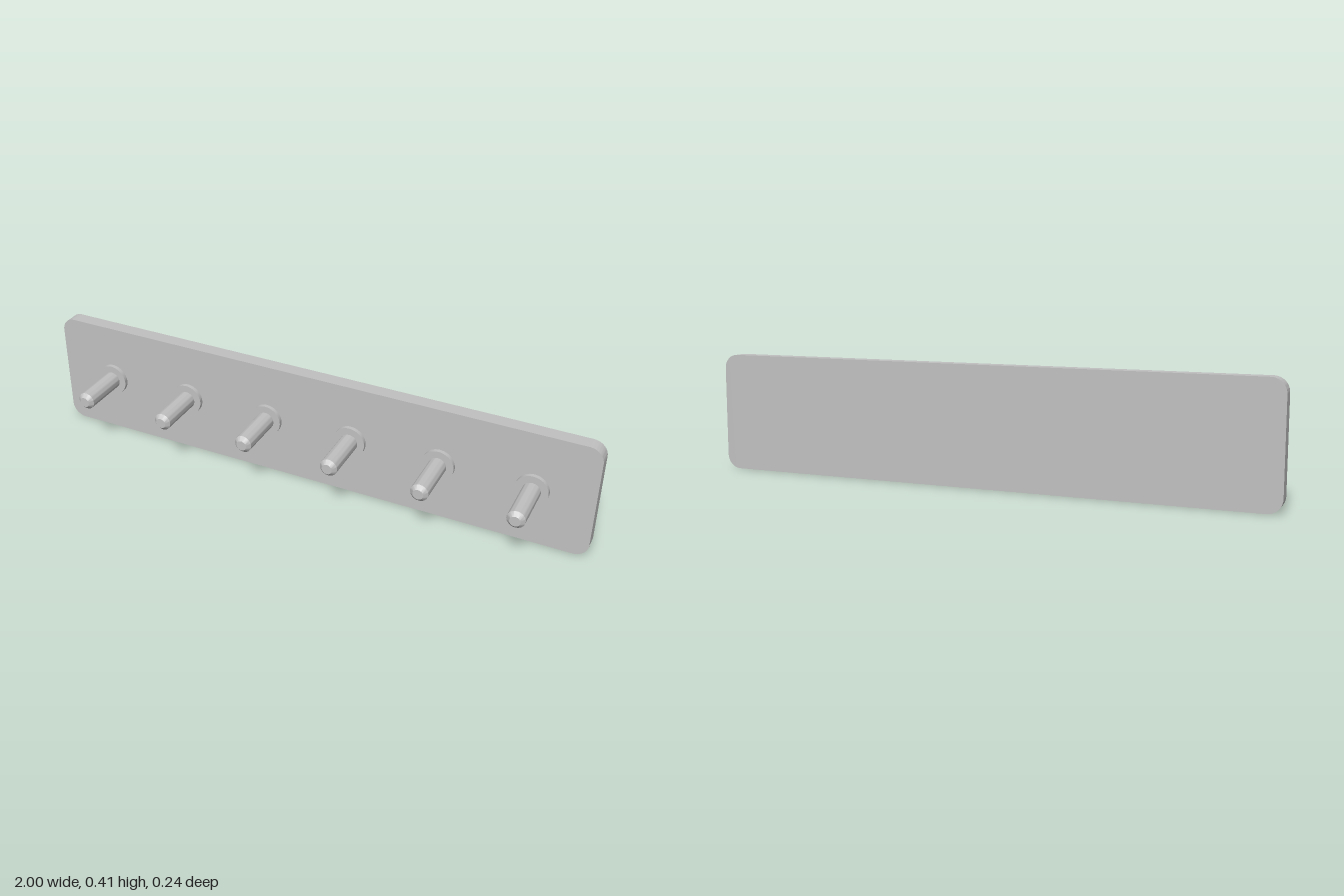
import * as THREE from 'three';
import { toCreasedNormals } from 'three/addons/utils/BufferGeometryUtils.js';

const HEIGHT = 0.415, BACK = -0.121, FACE = -0.071, TIP = 0.121;
const CREASE = Math.PI / 6;

// Rounded rectangle outline standing on y = 0
function plateShape(halfWidth, height, r) {
  const s = new THREE.Shape();
  s.absarc(halfWidth - r, r, r, -Math.PI / 2, 0);
  s.absarc(halfWidth - r, height - r, r, 0, Math.PI / 2);
  s.absarc(-halfWidth + r, height - r, r, Math.PI / 2, Math.PI);
  s.absarc(-halfWidth + r, r, r, Math.PI, Math.PI * 1.5);
  s.closePath();
  return s;
}

// Turned part along +z from [radius, z] pairs
function turned(profile) {
  const g = new THREE.LatheGeometry(profile.map(([r, z]) => new THREE.Vector2(r, z)), 48);
  g.rotateX(Math.PI / 2);
  return toCreasedNormals(g, CREASE);
}

export function createModel() {
  const group = new THREE.Group();
  const grey = new THREE.MeshStandardMaterial({ color: 0xc0c0c0 });
  grey.name = 'light grey';

  const add = (name, geometry, parent) => {
    const mesh = new THREE.Mesh(geometry, grey);
    mesh.name = name;
    parent.add(mesh);
    return mesh;
  };

  // Back plate
  const plate = new THREE.ExtrudeGeometry(plateShape(1, HEIGHT, 0.05), {
    depth: FACE - BACK, bevelEnabled: false, curveSegments: 12,
  });
  plate.translate(0, 0, BACK);
  add('backPlate', toCreasedNormals(plate, CREASE), group);

  // Collar and chamfered peg, shared by the whole row
  const seat = FACE + 0.014;
  const collar = turned([[0, FACE], [0.056, FACE], [0.056, seat], [0, seat]]);
  const peg = turned([[0.031, seat], [0.031, TIP - 0.013], [0.018, TIP], [0, TIP]]);

  for (let i = 0; i < 6; i++) {
    const hook = new THREE.Group();
    hook.name = 'hook';
    hook.position.set((i - 2.5) * 0.318, 0.209, 0);
    add('collar', collar, hook);
    add('peg', peg, hook);
    group.add(hook);
  }
  return group;
}
